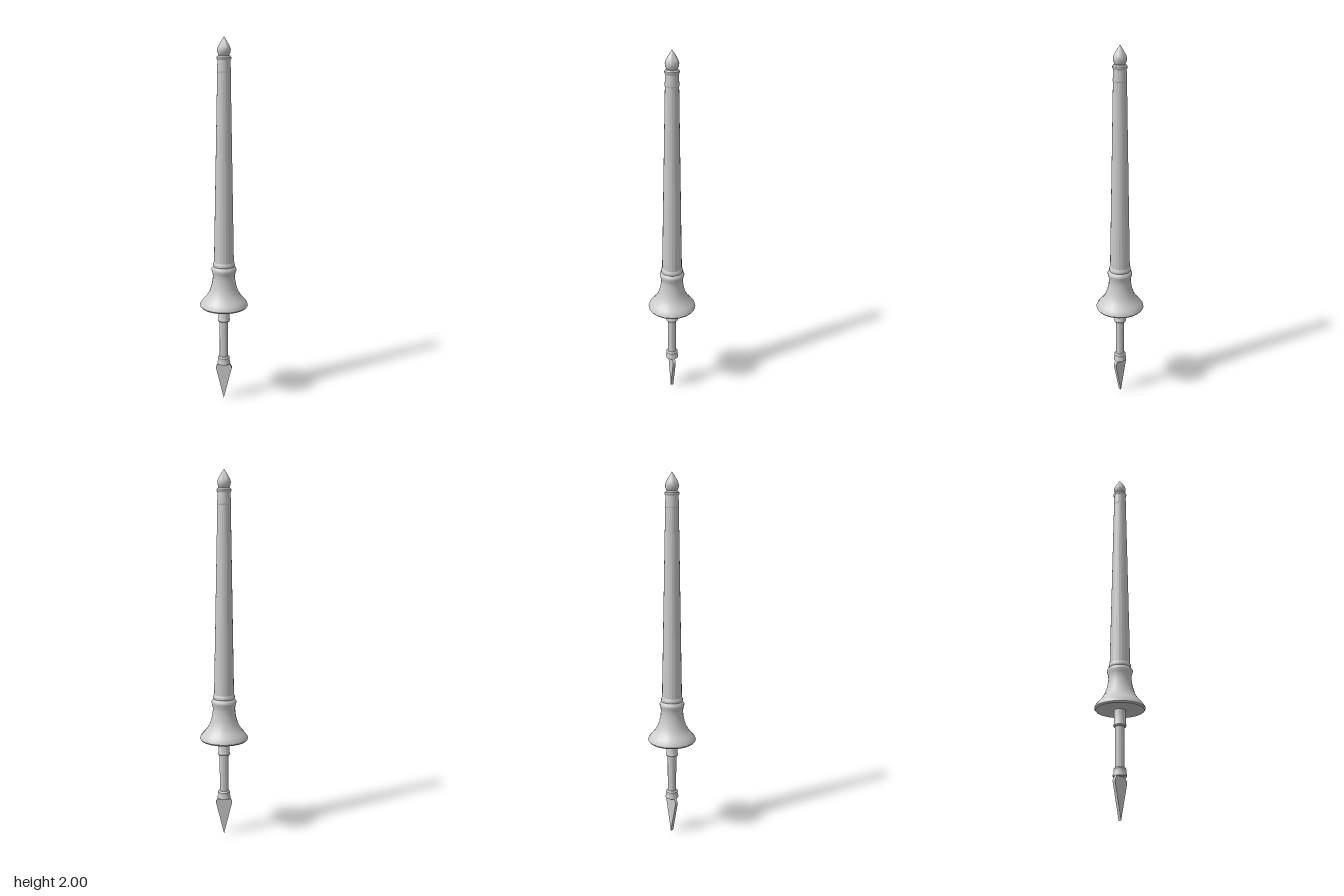
import * as THREE from 'three';
import { toCreasedNormals } from 'three/addons/utils/BufferGeometryUtils.js';

const material = new THREE.MeshStandardMaterial({ color: 0xcccccc });

export function createModel() {
  const model = new THREE.Group();
  model.name = 'lance';

  const add = (name, geometry) => {
    const mesh = new THREE.Mesh(geometry, material);
    mesh.name = name;
    model.add(mesh);
  };

  // Turned part: profile of [radius, height] pairs, from bottom to top
  const turn = (name, profile, sides = 20, crease = 0.6) => {
    const points = profile.map(([r, y]) => new THREE.Vector2(r, y));
    add(name, toCreasedNormals(new THREE.LatheGeometry(points, sides), crease));
  };

  // Flat spear point at the butt end
  const outline = new THREE.Shape([
    [0, 0], [0.045, 0.185], [0.043, 0.195], [0.03, 0.215],
    [-0.03, 0.215], [-0.043, 0.195], [-0.045, 0.185],
  ].map(([x, y]) => new THREE.Vector2(x, y)));
  const blade = new THREE.ExtrudeGeometry(outline, { depth: 0.016, bevelEnabled: false });
  blade.translate(0, 0, -0.008);
  add('buttBlade', blade);

  // Grip with its end collars
  turn('pommel', [
    [0, 0.213], [0.036, 0.213], [0.036, 0.222], [0.032, 0.232],
    [0.033, 0.25], [0.026, 0.258], [0, 0.258],
  ]);
  turn('grip', [[0.024, 0.25], [0.024, 0.475]]);
  turn('gripCollar', [
    [0, 0.467], [0.031, 0.467], [0.035, 0.474], [0.031, 0.482],
    [0.03, 0.486], [0.03, 0.56],
  ]);

  // Flared bell guard
  turn('handGuard', [
    [0, 0.555], [0.127, 0.555], [0.133, 0.563], [0.13, 0.574],
    [0.117, 0.592], [0.097, 0.613], [0.08, 0.642], [0.07, 0.672],
    [0.063, 0.705], [0.061, 0.73], [0.063, 0.75], [0.068, 0.764], [0.068, 0.774],
    [0.06, 0.784], [0.055, 0.79], [0, 0.79],
  ], 20, 0.8);

  // Faceted tapering shaft
  turn('shaftRing', [[0.056, 0.785], [0.06, 0.792], [0.059, 0.804], [0.054, 0.812]]);
  turn('shaft', [[0.055, 0.785], [0.035, 1.825]], 20, 0.2);
  turn('shaftCap', [
    [0.034, 1.82], [0.036, 1.823], [0.036, 1.83], [0.033, 1.885], [0, 1.885],
  ]);

  // Neck ring and pointed finial
  turn('neckRing', [
    [0, 1.882], [0.033, 1.882], [0.038, 1.89], [0.038, 1.898], [0.032, 1.905], [0, 1.908],
  ]);
  turn('finial', [
    [0.022, 1.9], [0.029, 1.91], [0.034, 1.923], [0.035, 1.936],
    [0.031, 1.95], [0.022, 1.966], [0.011, 1.984], [0, 2],
  ], 20, 0.9);

  return model;
}
